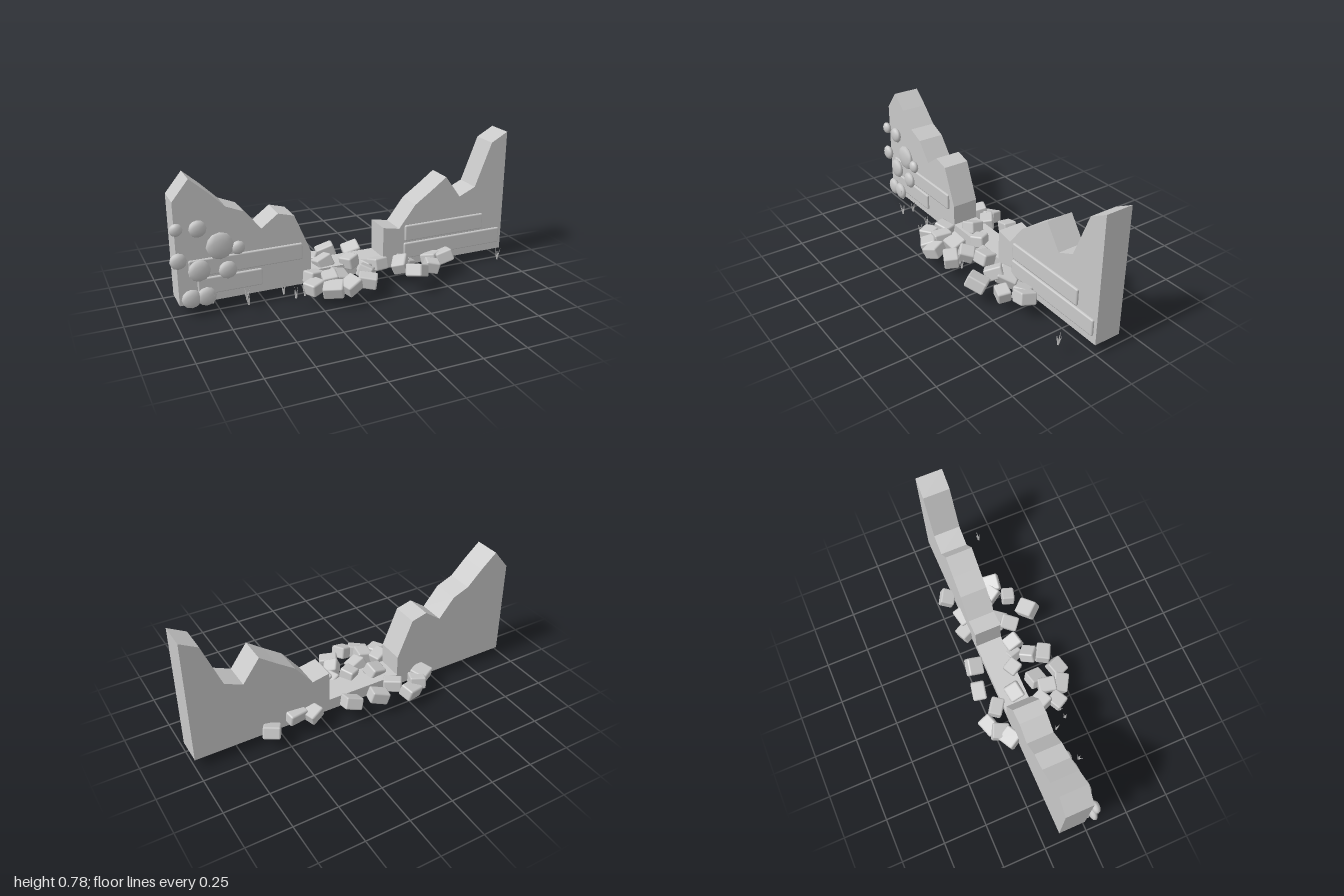
import * as THREE from 'three';
import { RoundedBoxGeometry } from 'three/addons/geometries/RoundedBoxGeometry.js';

export function createModel() {
  const model = new THREE.Group();
  model.name = 'ruinedWall';
  const stone = new THREE.MeshStandardMaterial({ color: 0xc8c8c8 });
  stone.name = 'grey stone';

  const add = (name, geometry, parent = model) => {
    const mesh = new THREE.Mesh(geometry, stone);
    mesh.name = name;
    parent.add(mesh);
    return mesh;
  };
  const group = (name, parent = model) => {
    const g = new THREE.Group();
    g.name = name;
    parent.add(g);
    return g;
  };
  let seed = 7;
  const rand = (a, b) => {
    seed = (seed * 16807) % 2147483647;
    return a + (b - a) * (seed / 2147483647);
  };

  // Broken wall: jagged outline with a collapsed gap in the middle
  const outline = [
    [-0.96, 0.06], [1, 0.06], [1, 0.785], [0.9, 0.73], [0.8, 0.475], [0.7, 0.43],
    [0.605, 0.56], [0.51, 0.49], [0.41, 0.42], [0.31, 0.29], [0.21, 0.31], [0.21, 0.13],
    [-0.23, 0.13], [-0.23, 0.25], [-0.32, 0.465], [-0.41, 0.49], [-0.505, 0.42],
    [-0.595, 0.53], [-0.69, 0.57], [-0.78, 0.66], [-0.87, 0.74], [-0.96, 0.63],
  ].map(([x, y]) => new THREE.Vector2(x, y));
  const wall = new THREE.ExtrudeGeometry(new THREE.Shape(outline), { depth: 0.155, bevelEnabled: false });
  wall.translate(0, 0, -0.15);
  add('wall', wall);

  // Raised stone courses on the front: x start, x end, y centre
  const courses = group('stoneCourses');
  for (const [x0, x1, y] of [
    [-0.9, -0.28, 0.258], [-0.86, -0.51, 0.151], [0.345, 0.86, 0.258], [0.34, 0.98, 0.151],
  ]) {
    add('course', new RoundedBoxGeometry(x1 - x0, 0.095, 0.03, 1, 0.008), courses)
      .position.set((x0 + x1) / 2, y, 0.002);
  }

  // Flattened ivy clumps: x, y, radius
  const ivy = group('ivy');
  const leaf = new THREE.IcosahedronGeometry(1, 1);
  for (const [x, y, r] of [
    [-0.955, 0.49, 0.035], [-0.845, 0.48, 0.047], [-0.735, 0.37, 0.075], [-0.64, 0.345, 0.038],
    [-0.955, 0.32, 0.045], [-0.85, 0.25, 0.06], [-0.70, 0.23, 0.05], [-0.90, 0.10, 0.053],
    [-0.82, 0.10, 0.053],
  ]) {
    const clump = add('ivyClump', leaf, ivy);
    clump.position.set(x, y, 0.027);
    clump.scale.set(r, r, 0.023);
  }

  // Rubble: chamfered blocks, raised where they rest on the wall base
  const rubble = group('rubble');
  const addRock = (x, y, z, w, d) => {
    const rock = add('rubbleStone', new RoundedBoxGeometry(w, 0.07, d, 1, 0.01), rubble);
    rock.position.set(x, y, z);
    return rock;
  };
  // x, z, yaw
  for (const [x, z, yaw] of [
    [-0.25, -0.265, 0.3], [-0.315, -0.225, -0.4], [-0.37, -0.185, 0.5], [-0.175, -0.19, -0.6],
    [-0.045, -0.245, -0.2], [0.105, -0.21, -0.1], [0.33, -0.165, 0.4], [0.58, -0.19, -0.5],
    [0.42, -0.15, 0.2], [-0.135, -0.06, 0.1], [0.005, -0.01, 0.5], [-0.24, 0.07, 0.4],
    [-0.27, 0.15, 0.5], [-0.18, 0.21, -0.5], [-0.09, 0.23, 0.4], [0.025, 0.195, -0.5],
    [-0.10, 0.09, 0.1], [0.05, 0.11, -0.6], [0.15, 0.055, 0.2], [0.28, 0.085, -0.6],
    [0.315, 0.22, 0.7], [0.445, 0.15, -0.3], [0.555, 0.09, -0.2], [0.50, 0.055, 0.5],
    [0.33, 0.03, 0.6], [-0.17, 0.13, -0.2], [0.10, 0.03, 0.3],
  ]) {
    const onBase = Math.abs(x) < 0.2 && z > -0.13 && z < 0.02;
    const y = onBase ? 0.14 : rand(0.09, 0.125);
    addRock(x, y, z, rand(0.08, 0.115), rand(0.075, 0.105))
      .rotation.set(rand(-0.4, 0.4), yaw, rand(-0.4, 0.4), 'YXZ');
  }
  // Block tipped on its corner under the wall
  addRock(-0.13, 0.057, -0.05, 0.08, 0.08).rotation.set(0.65, 0.8, 0.5, 'YXZ');

  // Grass tufts of leaning thin blades: x, z
  const grass = group('grass');
  for (const [x, z] of [
    [-0.79, 0.03], [-0.615, 0.06], [-0.625, 0.125], [-0.417, 0.08], [-0.374, 0.155],
    [-0.32, 0.145], [0.04, 0.15], [0.08, 0.16], [0.89, 0.145],
  ]) {
    const tuft = group('grassTuft', grass);
    tuft.position.set(x, 0.058, z);
    for (let i = 0; i < 4; i++) {
      const length = rand(0.05, 0.08);
      const blade = new THREE.ConeGeometry(0.006, length, 4);
      blade.translate(0, length / 2, 0);
      add('blade', blade, tuft).rotation.set(rand(0.1, 0.35), i * 1.6 + rand(0, 0.6), 0, 'YXZ');
    }
  }

  return model;
}
